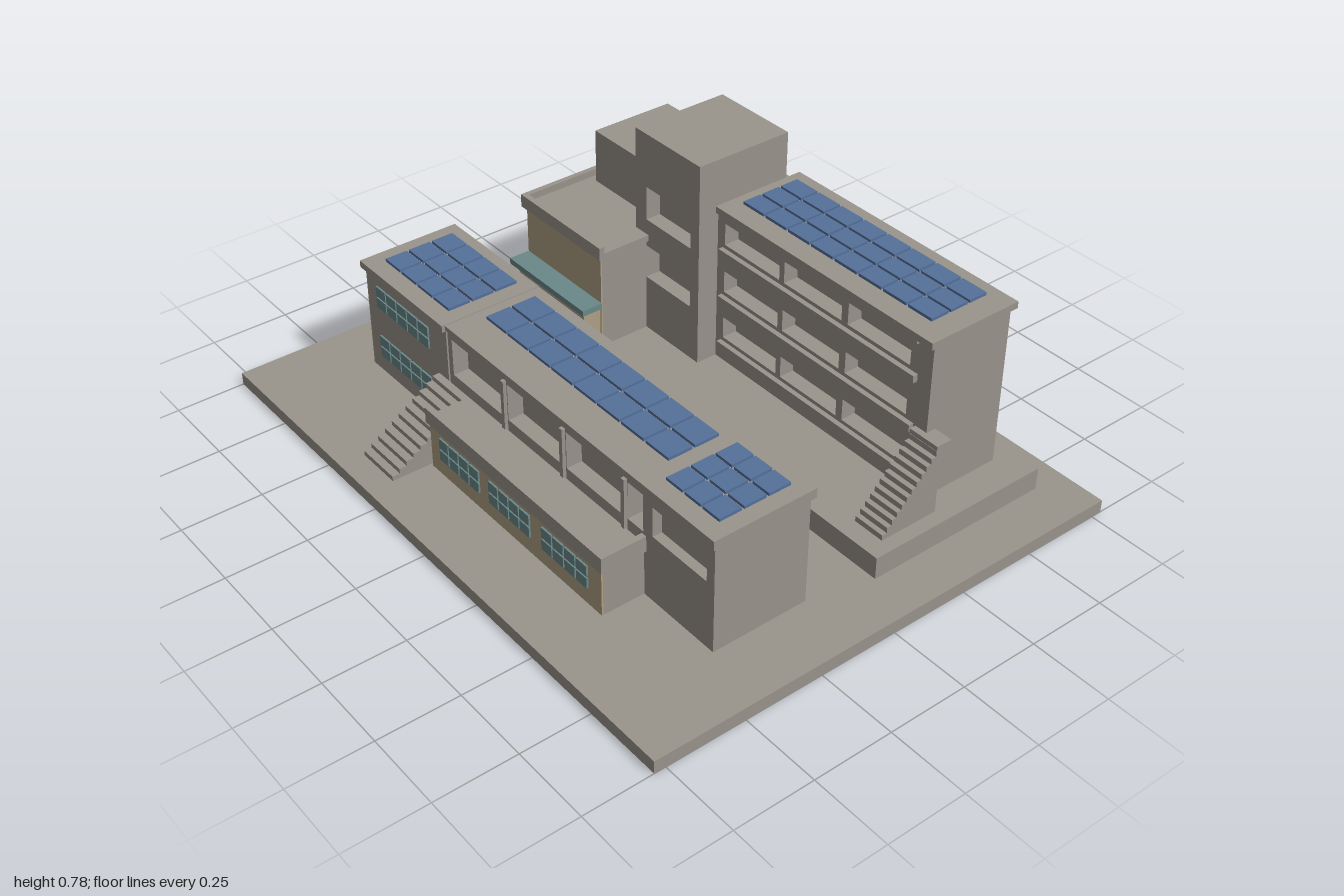
import * as THREE from 'three';

const mat = (name, color) => {
  const m = new THREE.MeshStandardMaterial({ color });
  m.name = name;
  return m;
};

export function createModel() {
  const root = new THREE.Group();
  root.name = 'buildingComplex';
  const concrete = mat('concrete', 0x99948b);
  const beige = mat('beige render', 0xaea084);
  const glass = mat('teal glass', 0x6a8888);
  const solar = mat('solar blue', 0x54709a);

  // Box given by its limits on each axis
  const box = (name, x0, x1, y0, y1, z0, z1, m = concrete, parent = root) => {
    const mesh = new THREE.Mesh(new THREE.BoxGeometry(x1 - x0, y1 - y0, z1 - z0), m);
    mesh.position.set((x0 + x1) / 2, (y0 + y1) / 2, (z0 + z1) / 2);
    mesh.name = name;
    parent.add(mesh);
    return mesh;
  };
  const rect = (P, x0, x1, y0, y1) => {
    const p = new P();
    p.moveTo(x0, y0);
    p.lineTo(x1, y0);
    p.lineTo(x1, y1);
    p.lineTo(x0, y1);
    p.closePath();
    return p;
  };
  // Front wall with rectangular openings, backed by a solid body
  const block = (name, x0, x1, y0, y1, z0, z1, holes, depth = 0.05) => {
    const g = new THREE.Group();
    g.name = name;
    root.add(g);
    box(name + 'Body', x0, x1, y0, y1, z0, z1 - depth, concrete, g);
    const s = rect(THREE.Shape, x0, x1, y0, y1);
    holes.forEach(h => s.holes.push(rect(THREE.Path, ...h)));
    const wall = new THREE.Mesh(new THREE.ExtrudeGeometry(s, { depth, bevelEnabled: false }), concrete);
    wall.position.z = z1 - depth;
    wall.name = name + 'Facade';
    g.add(wall);
  };
  // Grid of thin boxes filling an area, along y (windows) or z (panels)
  const panels = (name, x0, x1, z0, z1, y, cols, rows) => {
    const g = new THREE.Group();
    g.name = name;
    root.add(g);
    const w = (x1 - x0) / cols, d = (z1 - z0) / rows;
    for (let i = 0; i < cols; i++) for (let j = 0; j < rows; j++)
      box('solarPanel', x0 + i * w + 0.004, x0 + (i + 1) * w - 0.004, y, y + 0.009,
        z0 + j * d + 0.004, z0 + (j + 1) * d - 0.004, solar, g);
  };
  const windows = (x0, x1, y0, y1, z, cols) => {
    const g = new THREE.Group();
    g.name = 'windowBand';
    root.add(g);
    const w = (x1 - x0) / cols, h = (y1 - y0) / 2;
    for (let i = 0; i < cols; i++) for (let j = 0; j < 2; j++)
      box('windowPane', x0 + i * w + 0.003, x0 + (i + 1) * w - 0.003,
        y0 + j * h + 0.003, y0 + (j + 1) * h - 0.003, z, z + 0.006, glass, g);
  };
  // Solid stairs rising towards -z
  const stairs = (name, x0, x1, yBase, yTop, zLow, zHigh, n) => {
    const g = new THREE.Group();
    g.name = name;
    root.add(g);
    const d = (zLow - zHigh) / n, h = (yTop - yBase) / n;
    for (let i = 0; i < n; i++)
      box('step', x0, x1, yBase, yBase + (i + 1) * h, zLow - (i + 1) * d, zLow - i * d, concrete, g);
  };

  // Ground
  box('groundSlab', -1, 1, 0, 0.04, -0.785, 0.785);
  box('rearPlinth', -0.88, 0.85, 0.04, 0.11, -0.68, -0.07);

  // Front building, west wing
  box('westWing', -0.8, -0.38, 0.04, 0.38, 0.13, 0.44);
  box('westWingSide', -0.805, -0.8, 0.04, 0.38, 0.13, 0.44, beige);
  box('westRoof', -0.815, -0.38, 0.38, 0.402, 0.12, 0.452);
  panels('westPanels', -0.765, -0.425, 0.16, 0.4, 0.404, 4, 3);
  for (const y of [0.095, 0.27]) windows(-0.75, -0.468, y, y + 0.078, 0.44, 5);

  // Front building, middle with loggia openings
  block('middleWing', -0.38, 0.52, 0.04, 0.385, 0.13, 0.435, [
    [-0.36, -0.11, 0.24, 0.36], [-0.09, 0.16, 0.24, 0.36],
    [0.18, 0.43, 0.24, 0.36], [0.445, 0.51, 0.24, 0.36]]);
  for (const x of [-0.1, 0.17, 0.437]) box('facadePillar', x - 0.007, x + 0.007, 0.2, 0.37, 0.434, 0.446);
  box('middleRoof', -0.38, 0.52, 0.385, 0.4, 0.12, 0.442);
  panels('middlePanels', -0.34, 0.485, 0.16, 0.335, 0.4, 8, 2);

  // Front building, east wing
  block('eastWing', 0.52, 0.8, 0.04, 0.385, 0.13, 0.44, [[0.555, 0.77, 0.255, 0.35]], 0.03);
  box('eastRoof', 0.52, 0.81, 0.385, 0.415, 0.12, 0.453);
  panels('eastPanels', 0.55, 0.765, 0.16, 0.4, 0.416, 3, 3);

  // Low front annex with terrace and parapet
  box('annex', -0.27, 0.52, 0.04, 0.19, 0.43, 0.573);
  box('annexFront', -0.27, 0.52, 0.04, 0.19, 0.573, 0.578, beige);
  box('terraceFloor', -0.28, 0.53, 0.19, 0.21, 0.44, 0.585);
  box('terraceParapetFront', -0.28, 0.53, 0.21, 0.24, 0.567, 0.585);
  box('terraceParapetEast', 0.512, 0.53, 0.21, 0.24, 0.441, 0.567);
  for (const [a, b] of [[-0.222, -0.025], [0.018, 0.212], [0.262, 0.467]])
    windows(a, b, 0.093, 0.173, 0.578, 4);
  stairs('terraceStairs', -0.43, -0.28, 0.04, 0.21, 0.705, 0.44, 11);

  // Rear building, east part with three storeys of balconies
  const bays = [[-0.09, 0.145], [0.165, 0.4], [0.425, 0.665]];
  const floors = [0.19, 0.35, 0.51];
  block('rearEast', -0.125, 0.745, 0.11, 0.615, -0.61, -0.33,
    floors.flatMap(y => bays.map(b => [...b, y, y + 0.07])));
  for (const y of floors) box('balconyLedge', -0.1, 0.695, y - 0.035, y - 0.012, -0.331, -0.314);
  box('topLedge', -0.1, 0.695, 0.598, 0.615, -0.331, -0.316);
  box('rearRoof', -0.11, 0.755, 0.615, 0.636, -0.625, -0.31);
  panels('rearPanels', -0.075, 0.685, -0.585, -0.375, 0.636, 8, 3);

  // Rear building, west part and tower
  box('rearWest', -0.705, -0.4, 0.11, 0.615, -0.61, -0.33);
  box('towerBackInfill', -0.415, -0.12, 0.11, 0.615, -0.61, -0.56);
  block('tower', -0.415, -0.122, 0.11, 0.775, -0.585, -0.26,
    [[-0.365, -0.16, 0.49, 0.6], [-0.365, -0.16, 0.29, 0.4]]);

  // External stairs on the rear building
  stairs('rearStairs', 0.703, 0.806, 0.11, 0.32, -0.13, -0.325, 12);
  box('rearStairLanding', 0.703, 0.806, 0.31, 0.335, -0.362, -0.31);

  // Lobby with parapet roof, glazed canopy and entrance
  box('lobby', -0.735, -0.365, 0.11, 0.42, -0.37, -0.095);
  box('lobbyFront', -0.735, -0.365, 0.12, 0.42, -0.095, -0.09, beige);
  box('lobbyRoof', -0.75, -0.355, 0.42, 0.44, -0.375, -0.08);
  box('lobbyParapetFront', -0.75, -0.355, 0.44, 0.462, -0.098, -0.08);
  box('lobbyParapetWest', -0.75, -0.733, 0.44, 0.462, -0.375, -0.098);
  box('entrance', -0.7, -0.37, 0.12, 0.246, -0.09, -0.03, beige);
  box('entranceCanopy', -0.735, -0.362, 0.246, 0.265, -0.09, -0.02, glass);
  box('entrancePlatform', -0.855, -0.34, 0.04, 0.125, -0.11, 0.025);
  stairs('entranceStairs', -0.855, -0.75, 0.04, 0.105, 0.14, 0.025, 4);

  return root;
}
